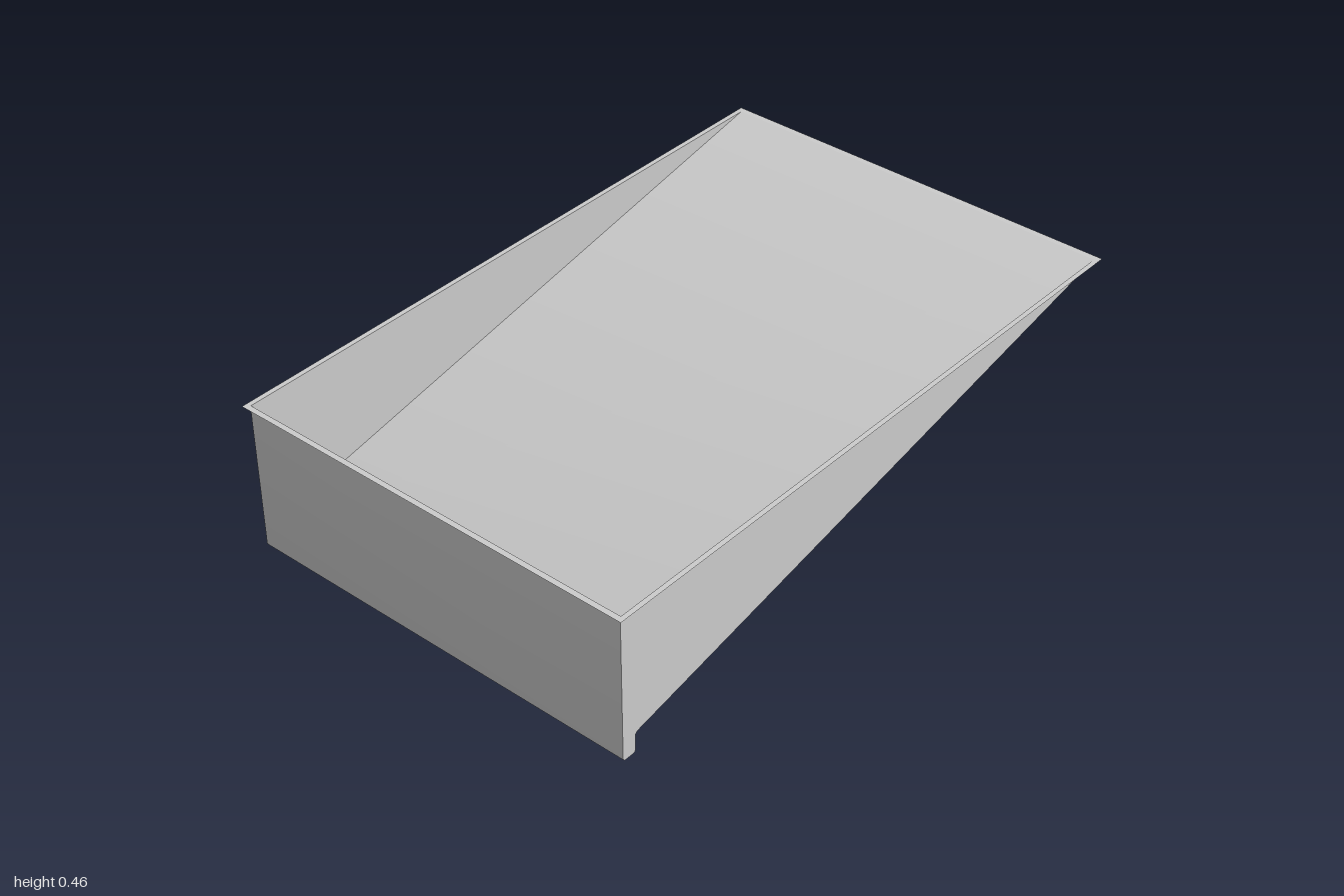
import * as THREE from 'three';
import { toCreasedNormals } from 'three/addons/utils/BufferGeometryUtils.js';

const HALF_WIDTH = 0.63;
const TOP = 0.458;

// Side outline: down the deep end, round the foot lip, up the sloping floor
function outline(path) {
  path.moveTo(-0.985, TOP);
  path.lineTo(-0.985, 0.01);
  path.quadraticCurveTo(-0.985, 0, -0.975, 0);
  path.lineTo(-0.95, 0);
  path.quadraticCurveTo(-0.94, 0, -0.94, 0.01);
  path.lineTo(-0.94, 0.05);
  path.quadraticCurveTo(-0.94, 0.06, -0.93, 0.064);
  path.lineTo(0.983, TOP);
  return path;
}

// Sweeps an open outline across the width of the tray
function sweep(points, halfWidth) {
  const v = [];
  for (let i = 0; i < points.length - 1; i++) {
    const a = points[i], b = points[i + 1];
    v.push(a.x, a.y, -halfWidth, b.x, b.y, -halfWidth, b.x, b.y, halfWidth);
    v.push(a.x, a.y, -halfWidth, b.x, b.y, halfWidth, a.x, a.y, halfWidth);
  }
  const g = new THREE.BufferGeometry();
  g.setAttribute('position', new THREE.Float32BufferAttribute(v, 3));
  return toCreasedNormals(g, 0.6);
}

function rectangle(target, x, y) {
  target.moveTo(-x, -y);
  target.lineTo(x, -y);
  target.lineTo(x, y);
  target.lineTo(-x, y);
  target.closePath();
  return target;
}

export function createModel() {
  const group = new THREE.Group();
  const material = new THREE.MeshStandardMaterial({ color: 0xcccccc, side: THREE.DoubleSide });
  const add = (name, geometry) => {
    const mesh = new THREE.Mesh(geometry, material);
    mesh.name = name;
    group.add(mesh);
    return mesh;
  };

  // End wall, foot lip and sloping floor as one folded sheet
  add('floorAndEndWall', sweep(outline(new THREE.Path()).getPoints(6), HALF_WIDTH));

  // Wedge-shaped side walls
  for (const side of [1, -1]) {
    const wall = add(side > 0 ? 'frontWall' : 'backWall',
      new THREE.ShapeGeometry(outline(new THREE.Shape()), 6));
    wall.position.z = side * HALF_WIDTH;
    if (side < 0) {
      // Mirror so the outside faces backwards
      wall.scale.z = -1;
    }
  }

  // Thin flat rim around the opening
  const rimShape = rectangle(new THREE.Shape(), 1, 0.645);
  rimShape.holes.push(rectangle(new THREE.Path(), 0.983, HALF_WIDTH));
  const rim = add('rim', new THREE.ShapeGeometry(rimShape).rotateX(-Math.PI / 2));
  rim.position.y = TOP;

  // Small pad in the bottom of the channel
  const pad = add('channelPad', new THREE.BoxGeometry(0.034, 0.004, 0.2));
  pad.position.set(-0.9625, 0.003, 0);

  return group;
}
